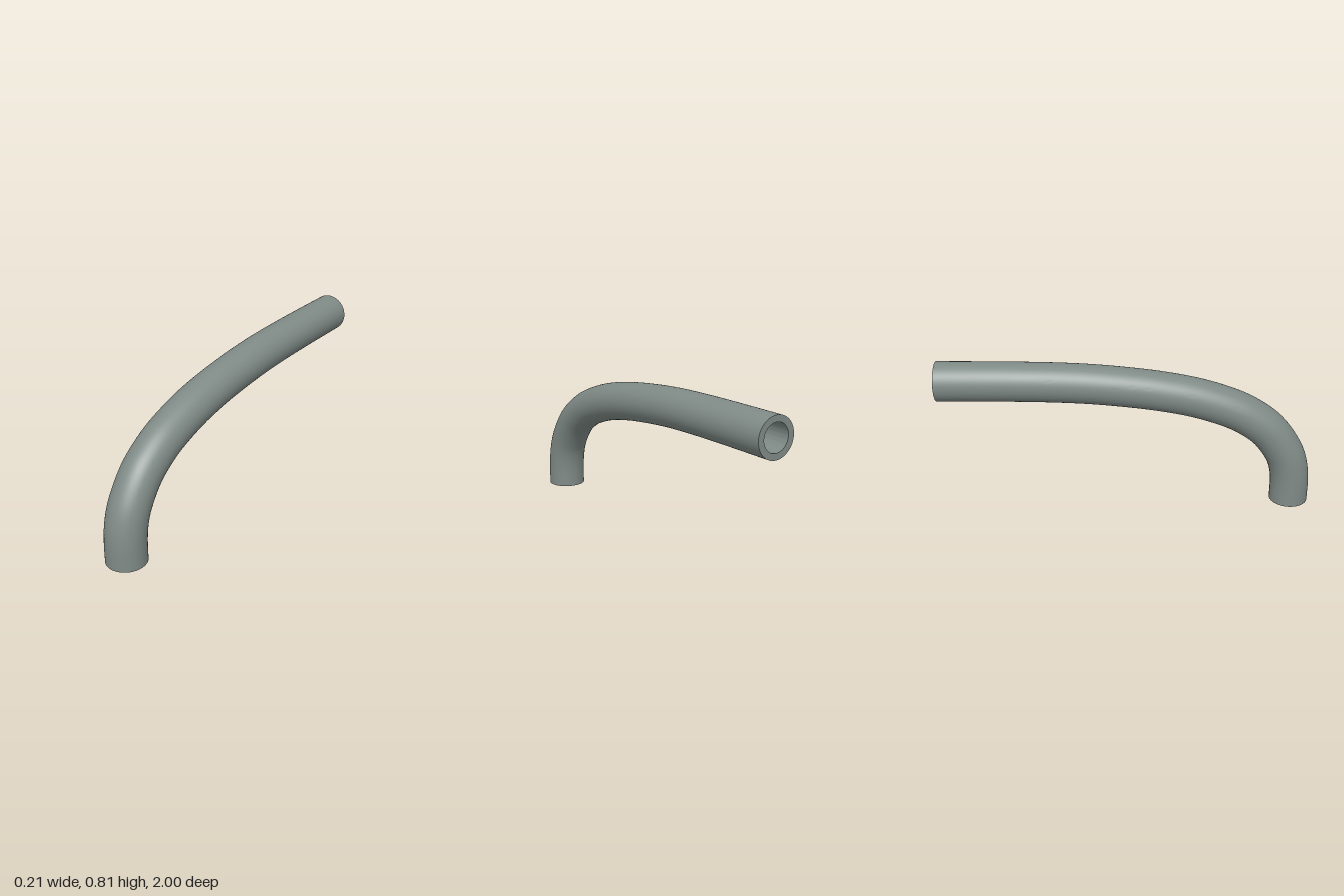
import * as THREE from 'three';
import { toCreasedNormals } from 'three/addons/utils/BufferGeometryUtils.js';

const OUTER = 0.105, INNER = 0.072;

// Centre line as [y, z]: rises from the floor, then sweeps back to level
const PATH = [
  [0, 0.895], [0.04, 0.895], [0.12, 0.893], [0.2, 0.882], [0.287, 0.852], [0.42, 0.758],
  [0.505, 0.645], [0.55, 0.555], [0.61, 0.375], [0.649, 0.183], [0.674, -0.01],
  [0.691, -0.2], [0.7, -0.4], [0.704, -0.65], [0.705, -0.9], [0.705, -1],
];

export function createModel() {
  const group = new THREE.Group();
  group.name = 'bentPipe';

  // Ring cross-section with the bore as a hole
  const ring = new THREE.Shape().absarc(0, 0, OUTER, 0, Math.PI * 2, false);
  ring.holes.push(new THREE.Path().absarc(0, 0, INNER, 0, Math.PI * 2, true));

  const curve = new THREE.CatmullRomCurve3(PATH.map(([y, z]) => new THREE.Vector3(0, y, z)));
  const swept = new THREE.ExtrudeGeometry(ring, {
    extrudePath: curve, steps: 80, curveSegments: 32, bevelEnabled: false,
  });

  // Smooth walls, sharp rims
  const pipe = new THREE.Mesh(
    toCreasedNormals(swept, Math.PI / 5),
    new THREE.MeshStandardMaterial({ color: 0x7f8a86 }),
  );
  pipe.name = 'pipe';
  group.add(pipe);
  return group;
}
